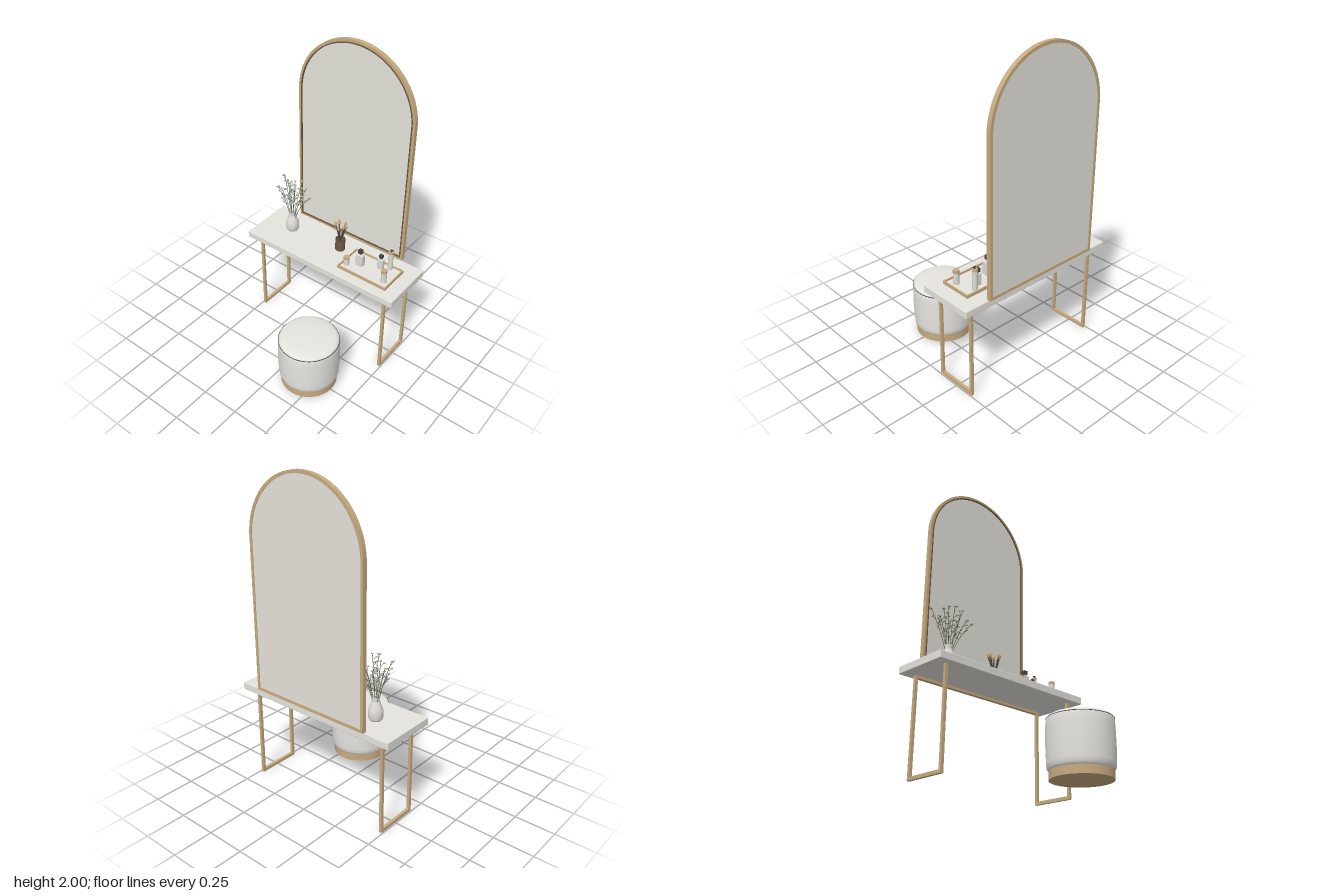
import * as THREE from 'three';
import { mergeGeometries } from 'three/addons/utils/BufferGeometryUtils.js';
import { RoundedBoxGeometry } from 'three/addons/geometries/RoundedBoxGeometry.js';

const mat = (name, color, side = THREE.FrontSide) => {
  const m = new THREE.MeshStandardMaterial({ color, side });
  m.name = name;
  return m;
};

export function createModel() {
  const stone = mat('pale stone', 0xe6e4de);
  const glass = mat('mirror grey', 0xe4e2da);
  const fabric = mat('cream fabric', 0xe8e6e1);
  const ceramic = mat('ceramic', 0xdedcd7, THREE.DoubleSide);
  const brass = mat('brushed brass', 0xc8ab80);
  const bronze = mat('dark bronze', 0x6e5a44, THREE.DoubleSide);
  const charcoal = mat('charcoal', 0x4a4744);
  const green = mat('stem green', 0x5a6848);
  const petal = mat('blossom grey', 0xa4aaa2);

  const model = new THREE.Group();
  model.name = 'vanityTable';
  const add = (name, geo, material, x = 0, y = 0, z = 0, parent = model) => {
    const mesh = new THREE.Mesh(geo, material);
    mesh.name = name;
    mesh.position.set(x, y, z);
    parent.add(mesh);
    return mesh;
  };
  const group = (name) => {
    const g = new THREE.Group();
    g.name = name;
    model.add(g);
    return g;
  };
  const box = (w, h, d) => new THREE.BoxGeometry(w, h, d);
  const cyl = (r, h, r2 = r) => new THREE.CylinderGeometry(r2, r, h, 28);
  const lathe = (pts, n = 40) => new THREE.LatheGeometry(pts.map(p => new THREE.Vector2(...p)), n);
  const rod = (a, b, r, r2 = r, n = 6) => {
    const d = b.clone().sub(a);
    const g = new THREE.CylinderGeometry(r2, r, d.length(), n);
    g.applyQuaternion(new THREE.Quaternion().setFromUnitVectors(
      new THREE.Vector3(0, 1, 0), d.normalize()));
    return g.translate(...a.clone().add(b).multiplyScalar(0.5).toArray());
  };

  // Arched mirror
  const mirror = group('mirror');
  const arch = (inset, T = THREE.Shape) => {
    const s = new T(), r = 0.41 - inset, b = 0.645 + inset;
    s.moveTo(-r, b);
    s.lineTo(r, b);
    s.lineTo(r, 1.59);
    s.absarc(0, 1.59, r, 0, Math.PI, false);
    s.lineTo(-r, b);
    return s;
  };
  const ring = (outer, inner, depth) => {
    const s = arch(outer);
    s.holes.push(arch(inner, THREE.Path));
    return new THREE.ExtrudeGeometry(s, { depth, bevelEnabled: false, curveSegments: 48 });
  };
  add('mirrorFrame', ring(0, 0.018, 0.028), brass, 0, 0, -0.445, mirror);
  add('mirrorInnerTrim', ring(0.016, 0.023, 0.008), bronze, 0, 0, -0.422, mirror);
  add('mirrorPane', new THREE.ExtrudeGeometry(arch(0.015),
    { depth: 0.018, bevelEnabled: false, curveSegments: 48 }), glass, 0, 0, -0.441, mirror);

  // Table top on two U-shaped legs and a back rail
  add('tableTop', new RoundedBoxGeometry(1.13, 0.046, 0.368, 3, 0.004), stone, 0, 0.613, -0.24);
  for (const side of [-1, 1]) {
    const leg = group(side > 0 ? 'leftLegFrame' : 'rightLegFrame');
    const x = side * 0.485;
    for (const z of [-0.107, -0.369]) add('legPost', box(0.018, 0.592, 0.018), brass, x, 0.296, z, leg);
    add('legFoot', box(0.018, 0.02, 0.25), brass, x, 0.01, -0.238, leg);
  }
  add('backRail', box(0.96, 0.018, 0.018), brass, 0, 0.582, -0.369);

  // Round upholstered stool
  const stool = group('stool');
  stool.position.set(0.185, 0, 0.25);
  add('stoolBase', cyl(0.178, 0.05), brass, 0, 0.036, 0, stool).geometry =
    new THREE.CylinderGeometry(0.178, 0.178, 0.05, 64);
  add('stoolCushion', lathe([[0, 0.056], [0.165, 0.056], [0.178, 0.06], [0.187, 0.073], [0.19, 0.1],
    [0.193, 0.2], [0.192, 0.3], [0.19, 0.343], [0.183, 0.356], [0.168, 0.364], [0.12, 0.369],
    [0.06, 0.372], [0, 0.373]], 64), fabric, 0, 0, 0, stool);
  add('stoolPiping', new THREE.TorusGeometry(0.1885, 0.0025, 8, 64).rotateX(Math.PI / 2),
    charcoal, 0, 0.345, 0, stool);

  // Vase with flowering sprigs
  const vase = group('vase');
  vase.position.set(-0.35, 0.636, -0.26);
  add('vaseBody', lathe([[0, 0], [0.036, 0], [0.042, 0.012], [0.044, 0.04], [0.041, 0.066], [0.032, 0.09],
    [0.023, 0.112], [0.021, 0.125], [0.025, 0.143], [0.021, 0.143], [0.017, 0.125], [0.017, 0.1]]),
  ceramic, 0, 0, 0, vase);
  let seed = 7;
  const rand = () => (seed = (seed * 16807) % 2147483647) / 2147483647;
  const stems = [], blossoms = [];
  const bloom = (p) => {
    for (let k = 0; k < 3; k++) {
      const g = box(0.014, 0.004, 0.004);
      g.rotateY(k * Math.PI / 3).rotateX(rand() - 0.5);
      blossoms.push(g.translate(p.x, p.y, p.z));
    }
  };
  const tips = [[-0.1, 0.36, -0.05], [-0.06, 0.35, 0.06], [-0.03, 0.33, -0.07], [0.01, 0.385, 0.03],
    [0.04, 0.36, -0.06], [0.06, 0.37, 0.04], [0.09, 0.34, -0.03], [0.11, 0.33, 0.02],
    [0.155, 0.32, 0.01], [-0.08, 0.3, 0.01], [-0.04, 0.37, -0.01]];
  for (const t of tips) {
    const tip = new THREE.Vector3(...t);
    const curve = new THREE.QuadraticBezierCurve3(new THREE.Vector3(t[0] * 0.05, 0.05, t[2] * 0.05),
      new THREE.Vector3(t[0] * 0.32, 0.2, t[2] * 0.32), tip);
    stems.push(new THREE.TubeGeometry(curve, 8, 0.0017, 5));
    bloom(tip);
    for (let k = 0; k < 5; k++) {
      const a = curve.getPoint(0.5 + k * 0.1);
      const ang = rand() * Math.PI * 2;
      const b = a.clone().add(new THREE.Vector3(
        Math.cos(ang) * 0.022, 0.018 + rand() * 0.015, Math.sin(ang) * 0.02));
      stems.push(rod(a, b, 0.0012, 0.0012, 4));
      bloom(b);
    }
  }
  add('sprigStems', mergeGeometries(stems), green, 0, 0, 0, vase);
  add('sprigBlossoms', mergeGeometries(blossoms), petal, 0, 0, 0, vase);

  // Cup of make-up brushes
  const cup = group('brushCup');
  cup.position.set(0.027, 0.636, -0.28);
  add('cupBody', lathe([[0, 0], [0.03, 0], [0.032, 0.003], [0.032, 0.084], [0.029, 0.084],
    [0.029, 0.006], [0, 0.006]]), bronze, 0, 0, 0, cup);
  for (const [x, y, z] of [[-0.034, 0.205, -0.028], [0.018, 0.205, -0.03], [0.046, 0.21, 0],
    [0.003, 0.195, 0.034], [-0.042, 0.2, 0.002], [0.03, 0.2, 0.012]]) {
    const foot = new THREE.Vector3(-x * 0.3, 0.01, -z * 0.3), tip = new THREE.Vector3(x, y, z);
    const at = (t) => foot.clone().lerp(tip, t);
    add('brushHandle', rod(foot, at(0.74), 0.003, 0.004, 8), charcoal, 0, 0, 0, cup);
    add('brushFerrule', rod(at(0.74), at(0.86), 0.0045, 0.006, 10), bronze, 0, 0, 0, cup);
    const head = add('brushHead', new THREE.SphereGeometry(0.0085, 12, 8).scale(1, 2.3, 1), brass,
      ...at(0.92).toArray(), cup);
    head.quaternion.setFromUnitVectors(new THREE.Vector3(0, 1, 0), tip.clone().sub(foot).normalize());
  }

  // Rimmed tray
  const tray = group('tray');
  tray.position.set(0.298, 0.636, -0.225);
  add('trayFloor', box(0.346, 0.008, 0.2), stone, 0, 0.004, 0, tray);
  for (const s of [-1, 1]) {
    add('trayLongRim', box(0.355, 0.019, 0.008), brass, 0, 0.0095, s * 0.101, tray);
    add('trayShortRim', box(0.008, 0.019, 0.194), brass, s * 0.1735, 0.0095, 0, tray);
  }

  // Round jars and pump bottle: x, z, radius, body height, lid radius, lid height
  const y0 = 0.644;
  for (const [x, z, r, h, lr, lh] of [[0.152, -0.175, 0.018, 0.046, 0.0185, 0.014],
    [0.427, -0.18, 0.018, 0.072, 0.0185, 0.018], [0.394, -0.302, 0.016, 0.125, 0.0165, 0.012]]) {
    const jar = group('jar');
    jar.position.set(x, y0, z);
    add('jarBody', cyl(r, h), ceramic, 0, h / 2, 0, jar);
    add('jarLid', cyl(lr, lh), brass, 0, h + lh / 2, 0, jar);
    if (h > 0.1) {
      add('pumpStem', cyl(0.004, 0.014), charcoal, 0, h + lh + 0.007, 0, jar);
      add('pumpSpout', box(0.022, 0.005, 0.007), charcoal, 0.005, h + lh + 0.014, 0, jar);
    }
  }

  // Square scent bottles: x, z, width, height, depth, cap size
  for (const [x, z, w, h, d, c] of [[0.225, -0.22, 0.052, 0.088, 0.034, 0.025],
    [0.345, -0.27, 0.04, 0.078, 0.028, 0.022]]) {
    const bottle = group('scentBottle');
    bottle.position.set(x, y0, z);
    add('bottleBody', new RoundedBoxGeometry(w, h, d, 3, 0.006), ceramic, 0, h / 2, 0, bottle);
    add('bottleNeck', cyl(0.008, 0.01), brass, 0, h + 0.004, 0, bottle);
    add('bottleCap', box(c, c, c), charcoal, 0, h + 0.008 + c / 2, 0, bottle);
  }

  return model;
}
